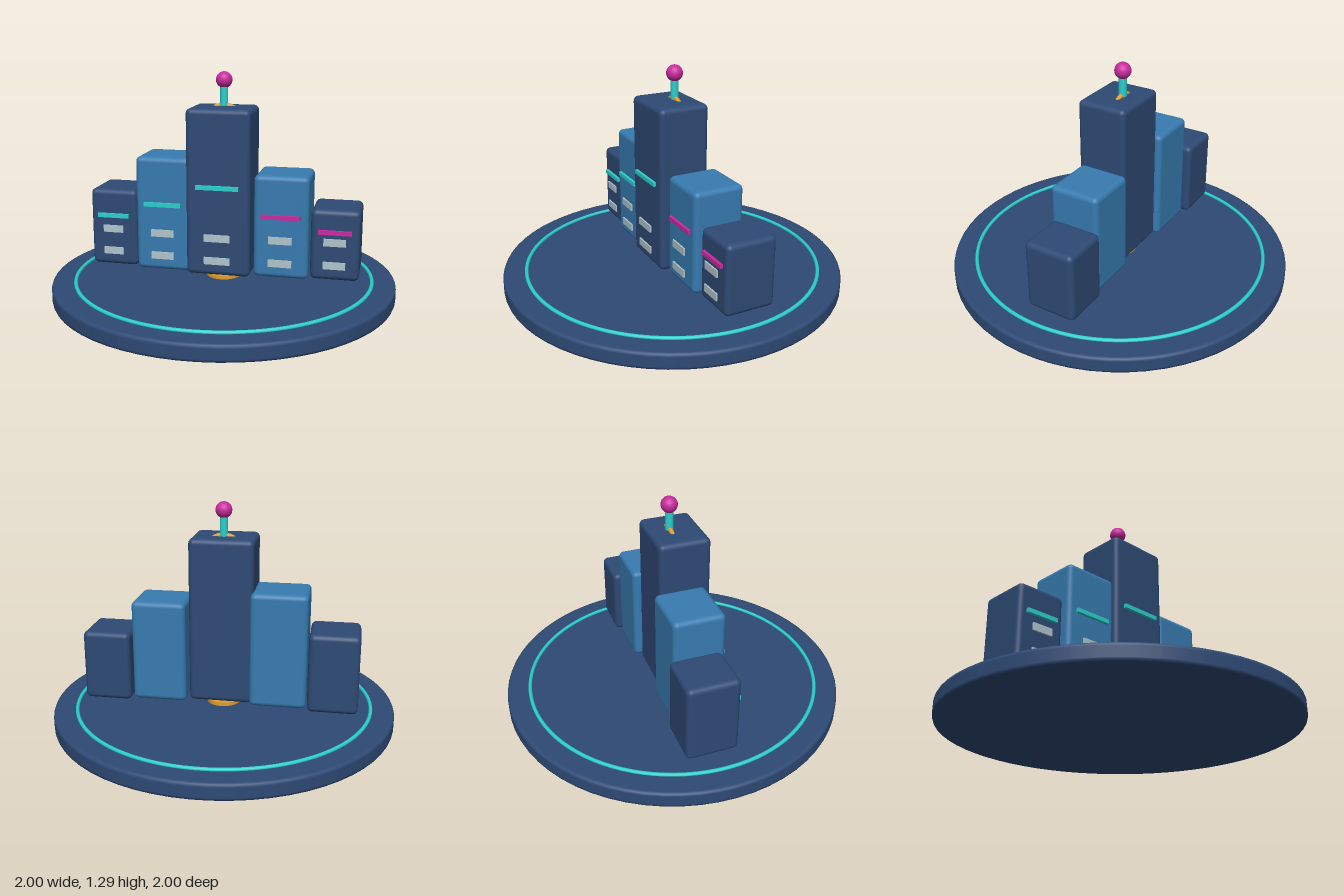
import * as THREE from 'three';
import { RoundedBoxGeometry } from 'three/addons/geometries/RoundedBoxGeometry.js';

function material(name, color) {
  const m = new THREE.MeshStandardMaterial({ color });
  m.name = name;
  return m;
}

export function createModel() {
  const navy = material('navy', 0x2e4a75);
  const blue = material('blue', 0x377bb0);
  const teal = material('teal', 0x2bd0cc);
  const magenta = material('magenta', 0xc92a9e);
  const gold = material('gold', 0xe0a030);
  const pale = material('window grey', 0xb0c4cc);

  const model = new THREE.Group();
  model.name = 'skylineOnDisc';

  function add(parent, name, geometry, mat, x, y, z) {
    const mesh = new THREE.Mesh(geometry, mat);
    mesh.name = name;
    mesh.position.set(x, y, z);
    parent.add(mesh);
    return mesh;
  }

  // Round base with softened rims
  const profile = [
    [0, 0], [0.98, 0], [0.985, 0], [0.996, 0.004], [1, 0.015], [1, 0.02],
    [1, 0.075], [1, 0.08], [0.996, 0.09], [0.985, 0.094], [0.98, 0.094], [0, 0.094],
  ].map(([r, y]) => new THREE.Vector2(r, y));
  add(model, 'base', new THREE.LatheGeometry(profile, 64), navy, 0, 0, 0);

  // Glowing ring inlaid in the base, and a gold disc under the tower
  const ring = add(model, 'baseRing', new THREE.TorusGeometry(0.865, 0.011, 10, 96), teal, 0, 0.098, 0);
  ring.rotation.x = Math.PI / 2;
  add(model, 'centreDisc', new THREE.CylinderGeometry(0.1, 0.1, 0.024, 32), gold, 0, 0.104, 0);

  // Buildings hover slightly above the base
  const bottom = 0.136, depth = 0.298;
  const buildings = [
    { name: 'outerRightBuilding', x: -0.646, w: 0.284, top: 0.595, z: -0.053, mat: navy, accent: teal, stripeY: 0.441, stripeW: 0.19, windowW: 0.12 },
    { name: 'innerRightBuilding', x: -0.333, w: 0.325, top: 0.805, z: -0.021, mat: blue, accent: teal, stripeY: 0.53, stripeW: 0.22, windowW: 0.134 },
    { name: 'centralTower', x: -0.002, w: 0.37, top: 1.094, z: 0.012, mat: navy, accent: teal, stripeY: 0.653, stripeW: 0.245, windowW: 0.15 },
    { name: 'innerLeftBuilding', x: 0.354, w: 0.312, top: 0.728, z: -0.023, mat: blue, accent: magenta, stripeY: 0.495, stripeW: 0.22, windowW: 0.134 },
    { name: 'outerLeftBuilding', x: 0.656, w: 0.275, top: 0.543, z: -0.053, mat: navy, accent: magenta, stripeY: 0.418, stripeW: 0.187, windowW: 0.125 },
  ];
  for (const b of buildings) {
    const group = new THREE.Group();
    group.name = b.name;
    const h = b.top - bottom;
    add(group, 'block', new RoundedBoxGeometry(b.w, h, depth, 4, 0.03), b.mat, b.x, bottom + h / 2, b.z);

    // Light strip and two windows on the front
    const front = b.z + depth / 2;
    add(group, 'lightStrip', new THREE.BoxGeometry(b.stripeW, 0.024, 0.022), b.accent, b.x, b.stripeY, front + 0.006);
    for (const y of [0.228, 0.362]) {
      add(group, 'window', new THREE.BoxGeometry(b.windowW, 0.042, 0.009), pale, b.x, y, front + 0.0135);
    }
    model.add(group);
  }

  // Antenna with a gold hoop half sunk into the roof
  const antenna = new THREE.Group();
  antenna.name = 'antenna';
  antenna.position.set(-0.002, 0, -0.017);
  add(antenna, 'mast', new THREE.CylinderGeometry(0.023, 0.023, 0.16, 16), teal, 0, 1.14, 0);
  add(antenna, 'beacon', new THREE.SphereGeometry(0.047, 24, 16), magenta, 0, 1.242, 0);
  add(antenna, 'hoop', new THREE.TorusGeometry(0.112, 0.014, 10, 40), gold, 0, 0.988, 0);
  model.add(antenna);

  return model;
}
